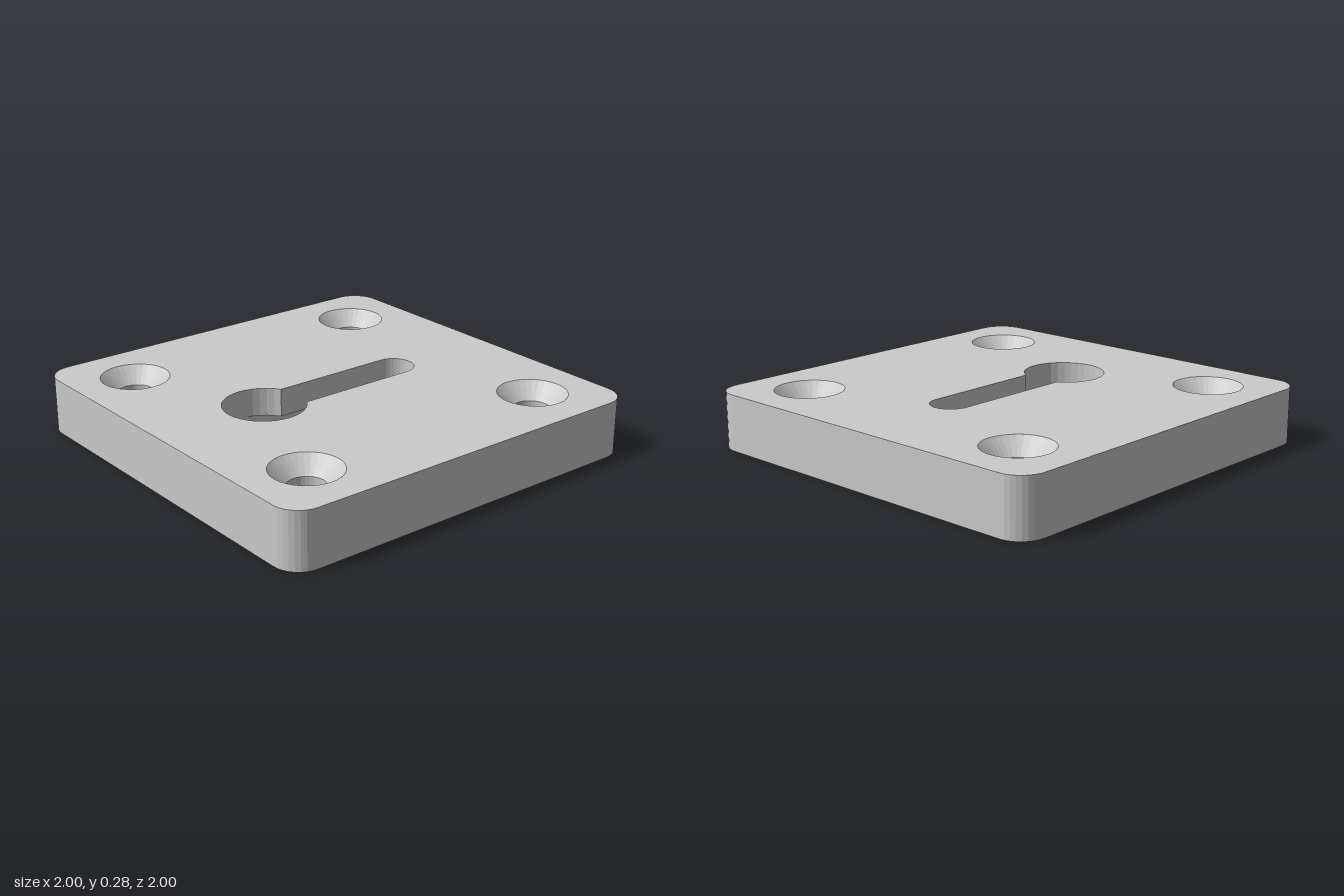
import * as THREE from 'three';
import { mergeGeometries } from 'three/addons/utils/BufferGeometryUtils.js';

const H = 0.28;        // plate thickness
const LEDGE = 0.14;    // height of the ledge inside the keyhole
const SINK = 0.2;      // height where the countersink cone meets the bore
const DEG = Math.PI / 180;

// Plan outlines are drawn in (x, v) with v = -z, counter-clockwise.
function arc(cx, cv, r, a0, a1, step = 10) {
  const n = Math.round(Math.abs(a1 - a0) / step);
  return Array.from({ length: n + 1 }, (_, i) => {
    const a = (a0 + (a1 - a0) * i / n) * DEG;
    return new THREE.Vector2(cx + r * Math.cos(a), cv + r * Math.sin(a));
  });
}

// Horizontal face at height y, facing up or down
function face(outline, holes, y, up) {
  const shape = new THREE.Shape(outline);
  shape.holes = holes.map((h) => new THREE.Path(h));
  const geo = new THREE.ShapeGeometry(shape).rotateX(-Math.PI / 2).translate(0, y, 0);
  if (!up) geo.index.array.reverse();
  const flat = geo.toNonIndexed();
  flat.deleteAttribute('uv');
  flat.computeVertexNormals();
  return flat;
}

// Wall between two matching closed outlines; inward for the sides of a hole
function wall(low, y0, high, y1, inward) {
  const pos = [];
  low.forEach((p, i) => {
    const j = (i + 1) % low.length;
    const a = [p.x, y0, -p.y];
    const b = [low[j].x, y0, -low[j].y];
    const c = [high[j].x, y1, -high[j].y];
    const d = [high[i].x, y1, -high[i].y];
    const quad = inward ? [a, c, b, a, d, c] : [a, b, c, a, c, d];
    pos.push(...quad.flat());
  });
  const geo = new THREE.BufferGeometry();
  geo.setAttribute('position', new THREE.Float32BufferAttribute(pos, 3));
  geo.computeVertexNormals();
  return geo;
}

export function createModel() {
  const group = new THREE.Group();
  const material = new THREE.MeshStandardMaterial({ color: 0xcccccc, flatShading: true });
  const add = (name, parts) => {
    const mesh = new THREE.Mesh(mergeGeometries(parts), material);
    mesh.name = name;
    group.add(mesh);
  };

  // Outlines
  const R = 0.13, c = 1 - R;
  const plate = [[c, c, 0], [-c, c, 90], [-c, -c, 180], [c, -c, 270]]
    .flatMap(([x, v, a]) => arc(x, v, R, a, a + 90, 11.25));
  const keyhole = [...arc(0, -0.4, 0.2, 120, 420), ...arc(0, 0.4, 0.1, 0, 180)];
  const pocket = [...arc(0, 0.4, 0.2, 0, 180), ...arc(0, -0.4, 0.2, 180, 360)];
  const ledge = [
    ...arc(0, -0.4, 0.2, 60, 0), ...arc(0, 0.4, 0.2, 0, 180),
    ...arc(0, -0.4, 0.2, 180, 120), ...arc(0, 0.4, 0.1, 180, 0),
  ];
  const circle = (x, v, r) => arc(x, v, r, 0, 360, 11.25).slice(0, -1);
  const screws = [[1, 1], [-1, 1], [-1, -1], [1, -1]].map(([sx, sv]) => ({
    bore: circle(sx * 0.68, sv * 0.68, 0.09),
    rim: circle(sx * 0.68, sv * 0.68, 0.17),
  }));

  // Plate with rounded corners
  add('plate', [
    face(plate, [keyhole, ...screws.map((s) => s.rim)], H, true),
    face(plate, [pocket, ...screws.map((s) => s.bore)], 0, false),
    wall(plate, 0, plate, H, false),
  ]);

  // Keyhole opening above a wider pocket that is open underneath
  add('keyholeSlot', [wall(keyhole, LEDGE, keyhole, H, true)]);
  add('keyholePocket', [wall(pocket, 0, pocket, LEDGE, true), face(ledge, [], LEDGE, false)]);

  // Countersunk screw holes
  for (const { bore, rim } of screws) {
    add('screwHole', [wall(bore, 0, bore, SINK, true), wall(bore, SINK, rim, H, true)]);
  }
  return group;
}
